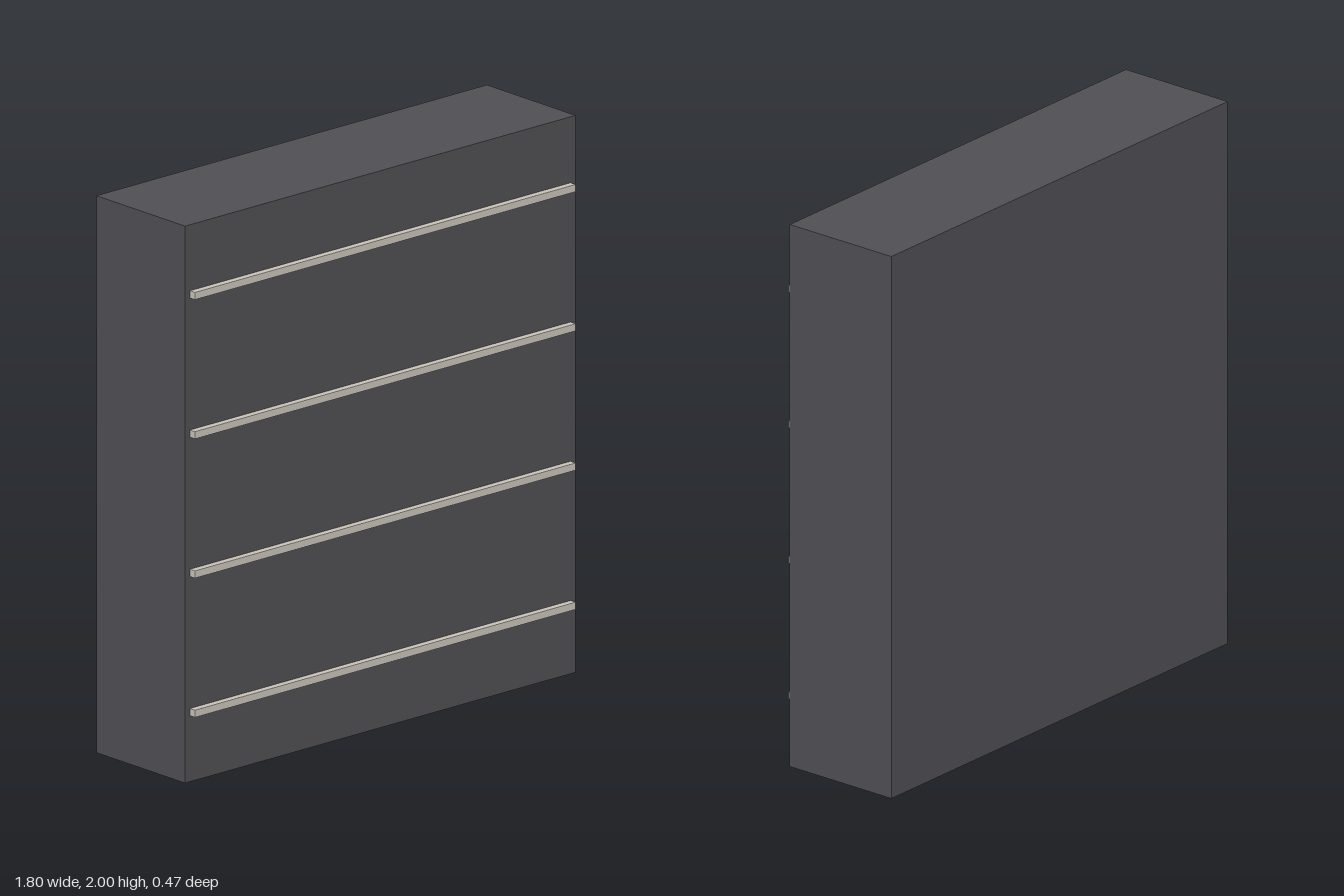
import * as THREE from 'three';

export function createModel() {
  const model = new THREE.Group();
  model.name = 'drawerCabinet';

  const charcoal = new THREE.MeshStandardMaterial({ color: 0x4f4e53 });
  charcoal.name = 'charcoal';
  const paleStone = new THREE.MeshStandardMaterial({ color: 0xc8c2b8 });
  paleStone.name = 'paleStone';

  const depth = 0.45;
  const railSize = 0.026;
  const frontZ = 0.2125;

  // Cabinet body
  const body = new THREE.Mesh(new THREE.BoxGeometry(1.8, 2, depth), charcoal);
  body.name = 'body';
  body.position.set(0, 1, frontZ - depth / 2);
  model.add(body);

  // Horizontal rails, evenly spaced up the front
  const railGeometry = new THREE.BoxGeometry(1.755, railSize, 0.025);
  for (let i = 0; i < 4; i++) {
    const rail = new THREE.Mesh(railGeometry, paleStone);
    rail.name = `frontRail${i + 1}`;
    rail.position.set(0, 0.25 + i * 0.5, frontZ + 0.0125);
    model.add(rail);
  }

  return model;
}
